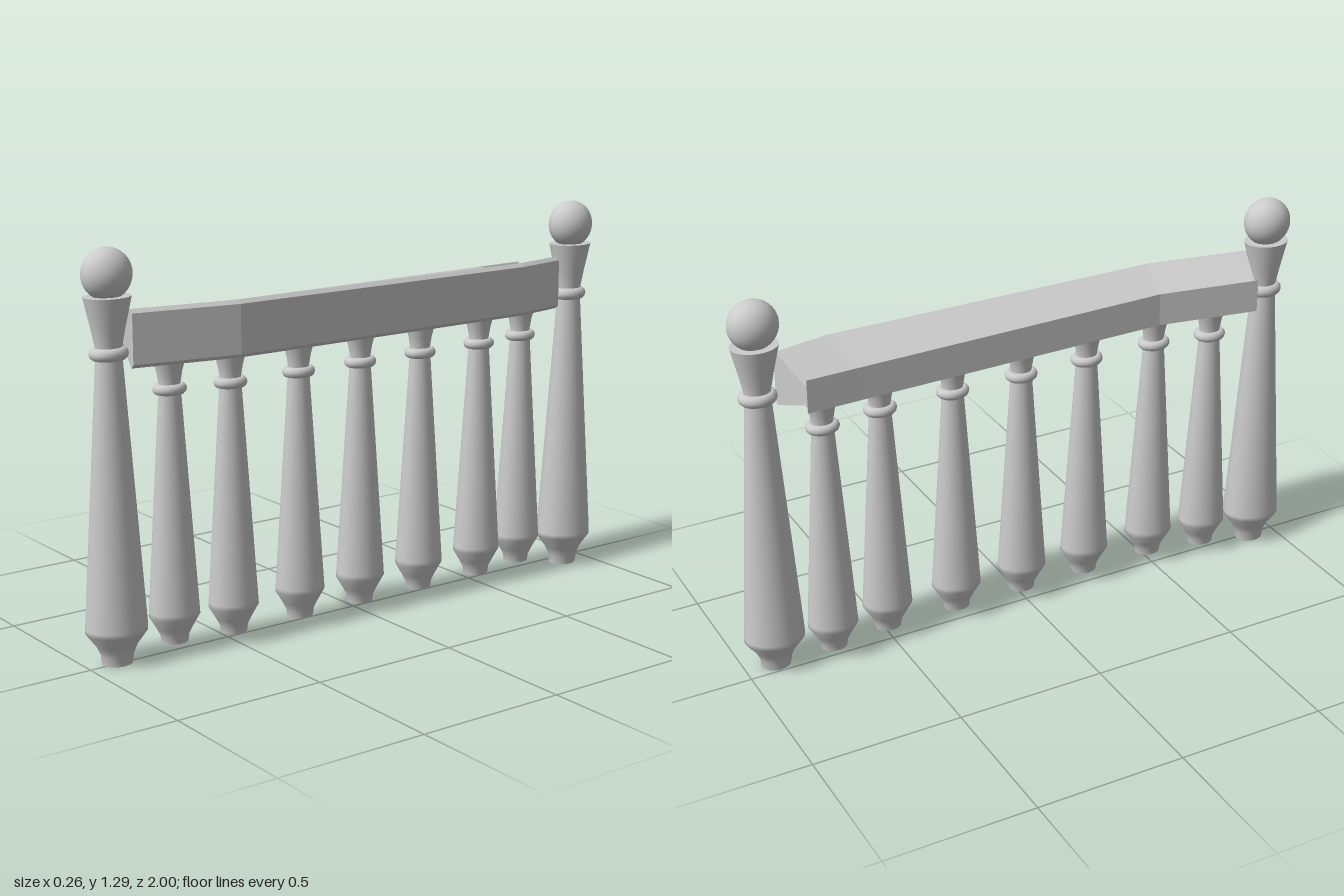
import * as THREE from 'three';

const mat = new THREE.MeshStandardMaterial({ color: 0xcccccc, side: THREE.DoubleSide });
const SQUASH = 0.84; // turned parts are narrower in x than in z

function add(parent, name, geometry) {
  const mesh = new THREE.Mesh(geometry, mat);
  mesh.name = name;
  parent.add(mesh);
  return mesh;
}

// Lathe from [radius, y] pairs; a repeated point keeps a sharp edge
function turned(points) {
  const pts = [];
  points.forEach(([r, y, sharp]) => {
    pts.push(new THREE.Vector2(r, y));
    if (sharp) pts.push(new THREE.Vector2(r, y));
  });
  return new THREE.LatheGeometry(pts, 32);
}

function ring(parent, radius, tube, y) {
  const collar = add(parent, 'collar', new THREE.TorusGeometry(radius, tube, 12, 32));
  collar.rotation.x = Math.PI / 2;
  collar.position.y = y;
}

function makePost(x, z) {
  const post = new THREE.Group();
  post.name = 'endPost';
  add(post, 'postBody', turned([
    [0, 0.005, 1], [0.049, 0.005, 1], [0.053, 0.035], [0.066, 0.065],
    [0.1, 0.11], [0.1, 0.125], [0.042, 0.97, 1],
    [0.043, 1.0], [0.053, 1.05], [0.076, 1.15, 1], [0, 1.15],
  ]));
  ring(post, 0.042, 0.02, 0.977);
  add(post, 'ballFinial', new THREE.SphereGeometry(0.08, 32, 20)).position.y = 1.216;
  post.scale.x = SQUASH;
  post.position.set(x, 0, z);
  return post;
}

function makeBaluster(x, z) {
  const baluster = new THREE.Group();
  baluster.name = 'baluster';
  add(baluster, 'balusterBody', turned([
    [0, 0.037, 1], [0.044, 0.037, 1], [0.047, 0.06], [0.06, 0.085],
    [0.084, 0.125], [0.083, 0.14], [0.036, 0.84, 1],
    [0.035, 0.865], [0.041, 0.9], [0.051, 0.935, 1], [0.051, 0.985, 1], [0, 0.985],
  ]));
  ring(baluster, 0.038, 0.017, 0.846);
  baluster.scale.x = SQUASH;
  baluster.position.set(x, 0, z);
  return baluster;
}

// Bent handrail: one cross-section at each end and at each bend
function railGeometry() {
  // [outer x, outer z, waist x, lip x, inner z]
  const stations = [
    [0.065, -0.83, -0.095, -0.105, -0.795],
    [0.1, -0.64, -0.06, -0.1, -0.6],
    [0.1, 0.5, -0.06, -0.075, 0.45],
    [0.04, 0.845, -0.12, -0.133, 0.79],
  ];
  const rings = stations.map(([ox, oz, wx, lx, iz]) => [
    [ox - 0.012, 0.93, oz], [ox, 0.942, oz], [ox, 1.098, oz], [ox - 0.012, 1.11, oz],
    [wx, 1.053, iz], [lx, 1.075, iz], [lx, 0.965, iz], [wx, 0.987, iz],
  ]);
  const pos = [];
  const tri = (a, b, c) => pos.push(...a, ...b, ...c);
  for (let i = 0; i < rings.length - 1; i++) {
    for (let j = 0; j < 8; j++) {
      const k = (j + 1) % 8;
      tri(rings[i][j], rings[i][k], rings[i + 1][k]);
      tri(rings[i][j], rings[i + 1][k], rings[i + 1][j]);
    }
  }
  // End caps
  const back = rings[0], front = rings[rings.length - 1];
  for (const [a, b, c] of [[0, 1, 2], [0, 2, 3], [0, 3, 4], [0, 4, 7], [7, 4, 5], [7, 5, 6]]) {
    tri(front[a], front[b], front[c]);
    tri(back[c], back[b], back[a]);
  }
  const geometry = new THREE.BufferGeometry();
  geometry.setAttribute('position', new THREE.Float32BufferAttribute(pos, 3));
  geometry.computeVertexNormals();
  return geometry;
}

export function createModel() {
  const model = new THREE.Group();
  model.name = 'balustrade';
  model.add(makePost(-0.008, 0.9), makePost(0.047, -0.895));
  add(model, 'handrail', railGeometry());
  const spots = [
    [0.005, 0.7], [0.036, 0.5], [0.036, 0.243], [0.036, 0],
    [0.036, -0.247], [0.036, -0.5], [0.012, -0.705],
  ];
  spots.forEach(([x, z]) => model.add(makeBaluster(x, z)));
  return model;
}
